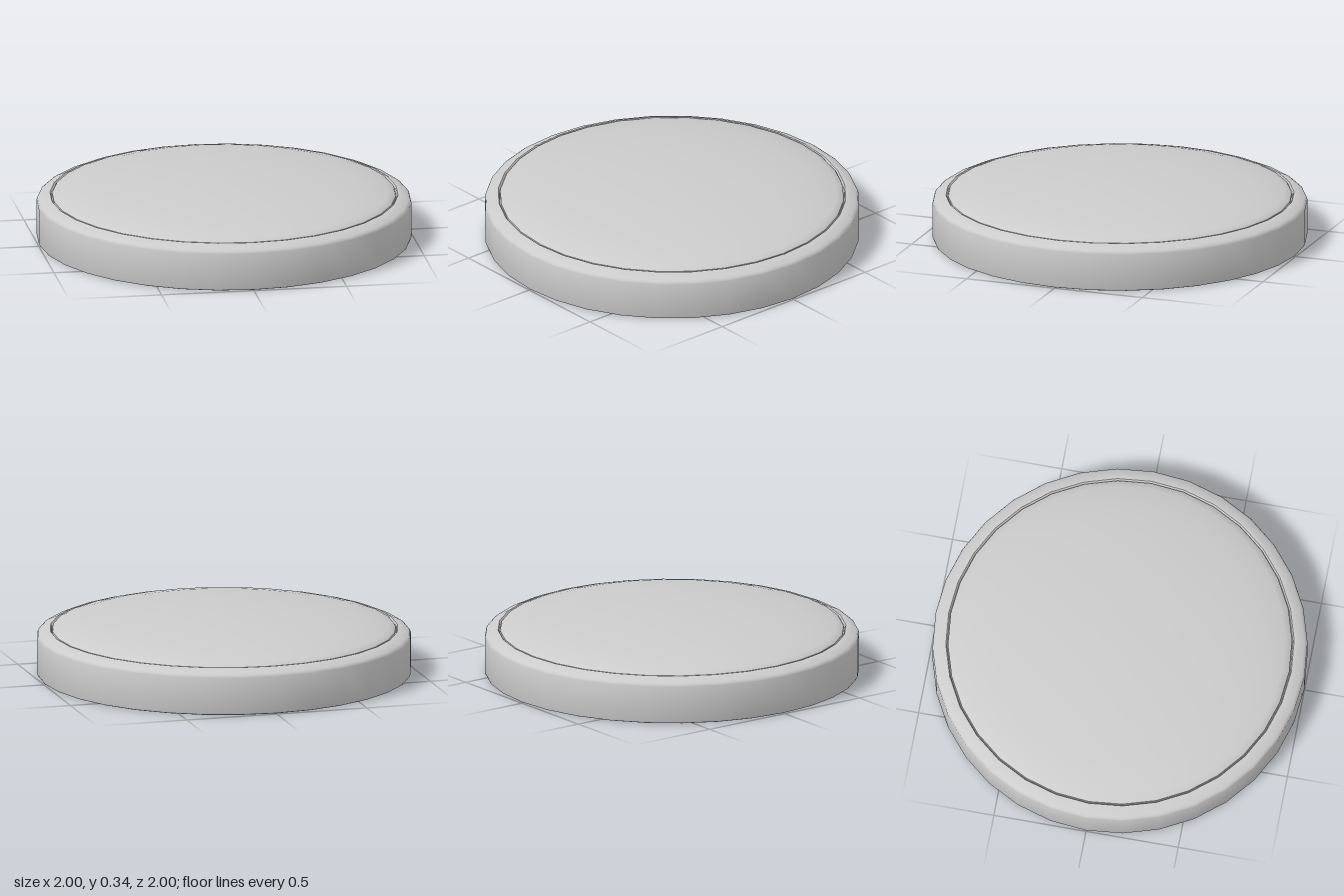
import * as THREE from 'three';
import { toCreasedNormals } from 'three/addons/utils/BufferGeometryUtils.js';

const SIDES = 32;
const material = new THREE.MeshStandardMaterial({ color: 0xcccccc });

// Turned part from a profile of [radius, height] running up the outside
function turned(name, profile) {
  const points = profile.map(([r, y]) => new THREE.Vector2(r, y));
  const geometry = toCreasedNormals(new THREE.LatheGeometry(points, SIDES), 0.7);
  const mesh = new THREE.Mesh(geometry, material);
  mesh.name = name;
  return mesh;
}

export function createModel() {
  const group = new THREE.Group();
  group.name = 'domedDisc';

  // Base: flat underside, straight wall, softened rim and the groove floor
  group.add(turned('base', [
    [0, 0], [0.985, 0], [0.996, 0.004], [1, 0.015],
    [1, 0.205], [0.996, 0.216], [0.985, 0.224],
    [0.935, 0.246], [0.929, 0.246], [0.925, 0.242], [0.922, 0.23], [0.9, 0.23],
  ]));

  // Shallow domed top seated inside the rim
  group.add(turned('domedTop', [
    [0.918, 0.23], [0.918, 0.244], [0.912, 0.251], [0.88, 0.262],
    [0.8, 0.282], [0.7, 0.299], [0.55, 0.316], [0.4, 0.329],
    [0.25, 0.337], [0.12, 0.341], [0, 0.343],
  ]));

  return group;
}
